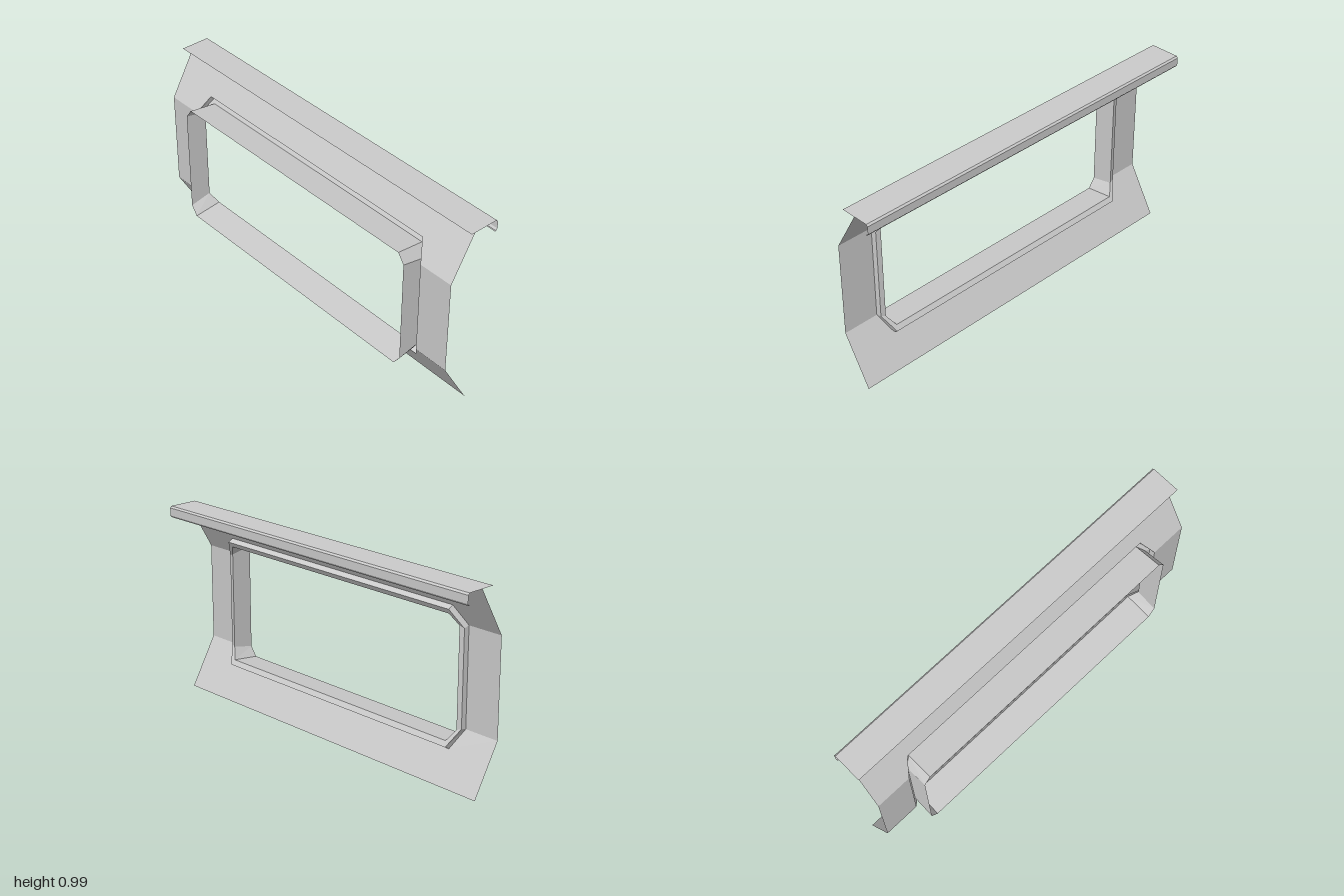
import * as THREE from 'three';

const MID_Y = 0.4965;  // height of the horizontal symmetry line
const MID_Z = -0.006;  // middle of the panel along its length

const material = new THREE.MeshStandardMaterial({
  color: 0xcccccc, flatShading: true, side: THREE.DoubleSide,
});

// Eight-point ring, mirrored up/down and front/back.
// side: [half z, half y, x] at the pillar bend; end: the same at the sloped top and bottom.
function ring(side, end) {
  const at = ([z, y, x], sz, sy) => new THREE.Vector3(x, MID_Y + sy * y, MID_Z + sz * z);
  return [
    at(side, 1, -1), at(side, 1, 1), at(end, 1, 1), at(end, -1, 1),
    at(side, -1, 1), at(side, -1, -1), at(end, -1, -1), at(end, 1, -1),
  ];
}

// Flat-shaded sheet through consecutive loops of points.
function sheet(name, loops, closed = true) {
  const points = [];
  for (let k = 0; k < loops.length - 1; k++) {
    const a = loops[k], b = loops[k + 1], n = a.length;
    for (let i = 0; i < (closed ? n : n - 1); i++) {
      const j = (i + 1) % n;
      points.push(a[i], b[i], b[j], a[i], b[j], a[j]);
    }
  }
  const geometry = new THREE.BufferGeometry().setFromPoints(points);
  geometry.computeVertexNormals();
  const mesh = new THREE.Mesh(geometry, material);
  mesh.name = name;
  return mesh;
}

export function createModel() {
  const model = new THREE.Group();
  model.name = 'windowPanel';

  const panelEdge = ring([0.983, 0.2485, -0.082], [0.983, 0.4965, 0.061]);
  const opening = ring([0.795, 0.2485, -0.082], [0.745, 0.3445, -0.0265]);
  const trimOuter = ring([0.795, 0.2405, -0.052], [0.745, 0.3295, -0.0005]);
  const trimInner = ring([0.77, 0.25, -0.047], [0.733, 0.304, -0.0155]);
  const linerBack = ring([0.77, 0.2735, -0.162], [0.735, 0.3225, -0.162]);

  // Bent wall panel, raised window trim, and the deep liner behind it
  model.add(sheet('panel', [panelEdge, opening]));
  model.add(sheet('windowTrim', [opening, trimOuter, trimInner]));
  model.add(sheet('windowLiner', [trimInner, linerBack]));

  // Flat top rail with a folded front lip
  const profile = [[0, 0.993], [0.152, 0.993], [0.16, 0.984], [0.16, 0.945], [0.153, 0.935], [0.146, 0.935]];
  const railEnd = (z) => profile.map(([x, y]) => new THREE.Vector3(x, y, z));
  model.add(sheet('topRail', [railEnd(-1), railEnd(1)], false));

  return model;
}
